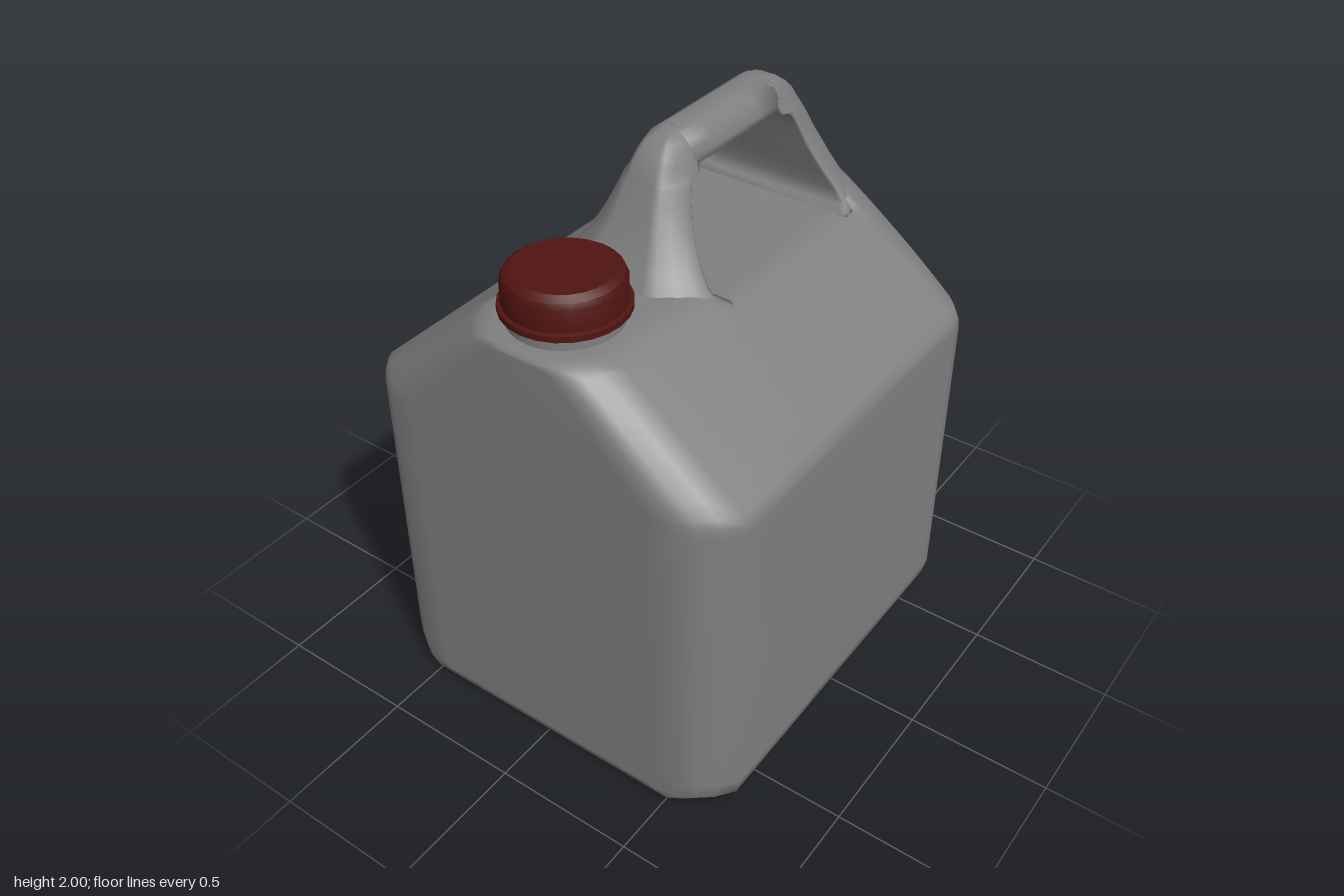
import * as THREE from 'three';
import { toCreasedNormals } from 'three/addons/utils/BufferGeometryUtils.js';

const plastic = new THREE.MeshStandardMaterial({ color: 0x7f7f7f });
const red = new THREE.MeshStandardMaterial({ color: 0x501410 });

// Close a right-hand outline (bottom to top) with its mirror image
const mirrorRing = (right) => [...right, ...right.slice().reverse().map(([x, y, z]) => [-x, y, z])];

// Skin closed rings of [x, y, z]; end rings are filled by joining left and right points
function loft(rings) {
  const n = rings[0].length, index = [];
  const quad = (a, b, c, d) => index.push(a, b, c, a, c, d);
  for (let s = 0; s < rings.length - 1; s++) {
    for (let i = 0; i < n; i++) {
      const j = (i + 1) % n;
      quad(s * n + i, s * n + j, (s + 1) * n + j, (s + 1) * n + i);
    }
  }
  const last = (rings.length - 1) * n;
  for (let i = 0; i < n / 2 - 1; i++) {
    const ends = [i, i + 1, n - 2 - i, n - 1 - i];
    quad(...ends.map((k) => last + k));
    quad(...ends.slice().reverse());
  }
  const g = new THREE.BufferGeometry();
  g.setAttribute('position', new THREE.Float32BufferAttribute(rings.flat(2), 3));
  g.setIndex(index);
  g.computeVertexNormals();
  return g;
}

function add(group, name, geometry, material) {
  const mesh = new THREE.Mesh(geometry, material);
  mesh.name = name;
  group.add(mesh);
}

// Container: right half of the cross-section, bottom centre to top centre
function bodyGeometry() {
  const half = [[0, 0], [0.55, 0], [0.65, 0.015], [0.69, 0.045], [0.705, 0.11],
    [0.705, 0.6], [0.705, 1.18], [0.7, 1.215], [0.68, 1.243]];
  for (let k = 1; k <= 8; k++) half.push([0.68 - 0.051 * k, 1.243 + 0.0415 * k]);
  half.push([0.24, 1.594], [0.19, 1.605], [0.1, 1.605], [0, 1.605]);

  // z, corner inset, bottom lift, roof height (dips under the grip)
  const stations = [
    [-0.785, 0.25, 0.045, 1.59], [-0.775, 0.15, 0.015, 1.6], [-0.745, 0.1, 0, 1.6],
    [-0.7, 0.045, 0, 1.6], [-0.64, 0, 0, 1.6], [-0.605, 0, 0, 1.58], [-0.575, 0, 0, 1.545],
    [-0.2, 0, 0, 1.545], [0.16, 0, 0, 1.545], [0.19, 0, 0, 1.575], [0.225, 0, 0, 1.602],
    [0.36, 0, 0, 1.605], [0.64, 0, 0, 1.605], [0.7, 0.045, 0, 1.605],
    [0.745, 0.1, 0, 1.605], [0.775, 0.15, 0.015, 1.602], [0.785, 0.25, 0.045, 1.585]];

  return loft(stations.map(([z, inset, lift, top]) => mirrorRing(half.map(([x, y0]) => {
    const y = Math.min(Math.max(y0, lift), top);
    const px = x === 0 ? 0 : Math.max(0, x - inset * Math.min(1, 0.4 + 0.86 * x));
    // the back leans forward above the shoulder
    const lean = z < 0 && y > 1.22 ? 1 - 0.575 * (y - 1.22) ** 2 : 1;
    return [px, y, z * lean];
  }))));
}

// Handle rows: y, half width, front leg inner and outer z, rear leg inner and outer z
const legRows = [
  [1.5, 0.355, 0.14, 0.375, -0.5, -0.74],
  [1.545, 0.305, 0.14, 0.37, -0.5, -0.732],
  [1.56, 0.288, 0.17, 0.366, -0.53, -0.728],
  [1.58, 0.268, 0.186, 0.362, -0.54, -0.722],
  [1.605, 0.25, 0.19, 0.35, -0.54, -0.716],
  [1.65, 0.215, 0.175, 0.315, -0.53, -0.697],
  [1.7, 0.185, 0.158, 0.283, -0.515, -0.675],
  [1.76, 0.153, 0.137, 0.25, -0.498, -0.645],
  [1.82, 0.13, 0.112, 0.222, -0.481, -0.615],
  [1.86, 0.117, 0.092, 0.203, -0.466, -0.59],
  [1.875, 0.112, 0.072, 0.197, -0.45, -0.58],
  [1.885, 0.108, 0.04, 0.193, -0.41, -0.575],
  [1.92, 0.095, 0.03, 0.175, -0.4, -0.555],
  [1.95, 0.082, 0.03, 0.152, -0.4, -0.525],
  [1.975, 0.066, 0.03, 0.125, -0.4, -0.49],
  [1.99, 0.045, 0.03, 0.09, -0.4, -0.45],
  [2.0, 0.025, 0.03, 0.05, -0.4, -0.41]];

// Leg skinned between its outer (t = 0) and inner (t = 1) faces; stations are [t, narrowing]
function legGeometry(innerColumn, stations) {
  return loft(stations.map(([t, narrow]) => mirrorRing(legRows.map((row) => [
    row[1] * (1 - narrow), row[0],
    THREE.MathUtils.lerp(row[innerColumn + 1], row[innerColumn], t)]))));
}

// Grip bar: rounded underside, top rows shared with the legs
function gripGeometry() {
  const outline = [[0.04, 1.878], [0.075, 1.882], [0.092, 1.897],
    ...legRows.filter((row) => row[0] > 1.9).map((row) => [row[1], row[0]])];
  return loft([-0.42, -0.3, -0.18, -0.06, 0.05].map((z) => mirrorRing(outline.map(([x, y]) => [x, y, z]))));
}

const lathe = (points, sides) => toCreasedNormals(
  new THREE.LatheGeometry(points.map(([r, y]) => new THREE.Vector2(r, y)), sides), 0.5);

export function createModel() {
  const group = new THREE.Group();
  group.name = 'jerrycan';
  add(group, 'body', bodyGeometry(), plastic);

  const handle = new THREE.Group();
  handle.name = 'handle';
  add(handle, 'frontLeg', legGeometry(2,
    [[1, 0.04], [0.92, 0], [0.65, 0.06], [0.35, 0.2], [0.1, 0.38], [0, 0.55]]), plastic);
  add(handle, 'rearLeg', legGeometry(4,
    [[0, 0.6], [0.05, 0.38], [0.22, 0.25], [0.47, 0.11], [0.8, 0], [0.94, 0], [1, 0.04]]), plastic);
  add(handle, 'grip', gripGeometry(), plastic);
  group.add(handle);

  // Neck and screw cap near the front
  const spout = new THREE.Group();
  spout.name = 'spout';
  spout.position.z = 0.56;
  add(spout, 'neck', lathe([[0.18, 1.57], [0.18, 1.66]], 32), plastic);
  add(spout, 'cap', lathe([[0, 1.645], [0.2, 1.645], [0.2, 1.665], [0.187, 1.668],
    [0.187, 1.74], [0.178, 1.76], [0.155, 1.775], [0, 1.775]], 24), red);
  group.add(spout);
  return group;
}
